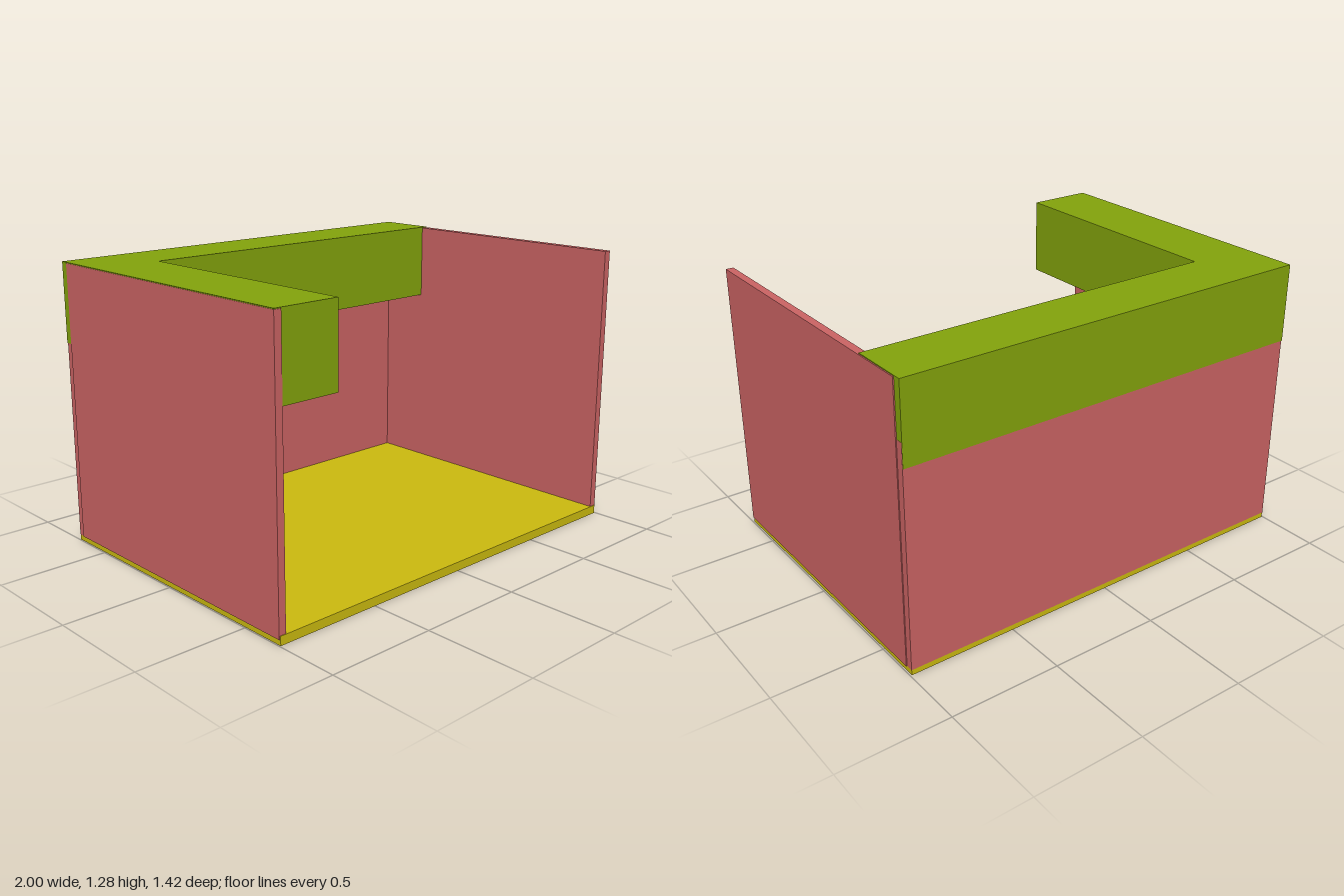
import * as THREE from 'three';

const material = (color) => new THREE.MeshStandardMaterial({ color });

export function createModel() {
  const room = new THREE.Group();
  room.name = 'room';
  const wallMat = material(0xcc6464);
  const floorMat = material(0xccbb0f);
  const soffitMat = material(0x84a40c);

  // Box given by its extents along each axis
  const slab = (name, mat, [x0, x1], [y0, y1], [z0, z1]) => {
    const mesh = new THREE.Mesh(new THREE.BoxGeometry(x1 - x0, y1 - y0, z1 - z0), mat);
    mesh.position.set((x0 + x1) / 2, (y0 + y1) / 2, (z0 + z1) / 2);
    mesh.name = name;
    room.add(mesh);
  };

  slab('floor', floorMat, [-0.995, 0.993], [0, 0.04], [-0.707, 0.708]);

  // Walls: two sides and a back that runs behind them
  slab('leftWall', wallMat, [0.963, 0.998], [0.025, 1.277], [-0.675, 0.705]);
  slab('rightWall', wallMat, [-1, -0.966], [0.025, 1.277], [-0.675, 0.705]);
  slab('backWall', wallMat, [-0.996, 0.994], [0.025, 1.03], [-0.708, -0.675]);

  // L-shaped soffit along the back and right walls (shape y becomes -z)
  const outline = new THREE.Shape([
    [-0.998, -0.702], [-0.693, -0.702], [-0.693, 0.433],
    [0.993, 0.433], [0.993, 0.71], [-0.998, 0.71],
  ].map(([x, y]) => new THREE.Vector2(x, y)));
  const soffitGeo = new THREE.ExtrudeGeometry(outline, { depth: 0.358, bevelEnabled: false });
  soffitGeo.rotateX(-Math.PI / 2);
  const soffit = new THREE.Mesh(soffitGeo, soffitMat);
  soffit.position.y = 0.923;
  soffit.name = 'soffit';
  room.add(soffit);

  return room;
}
